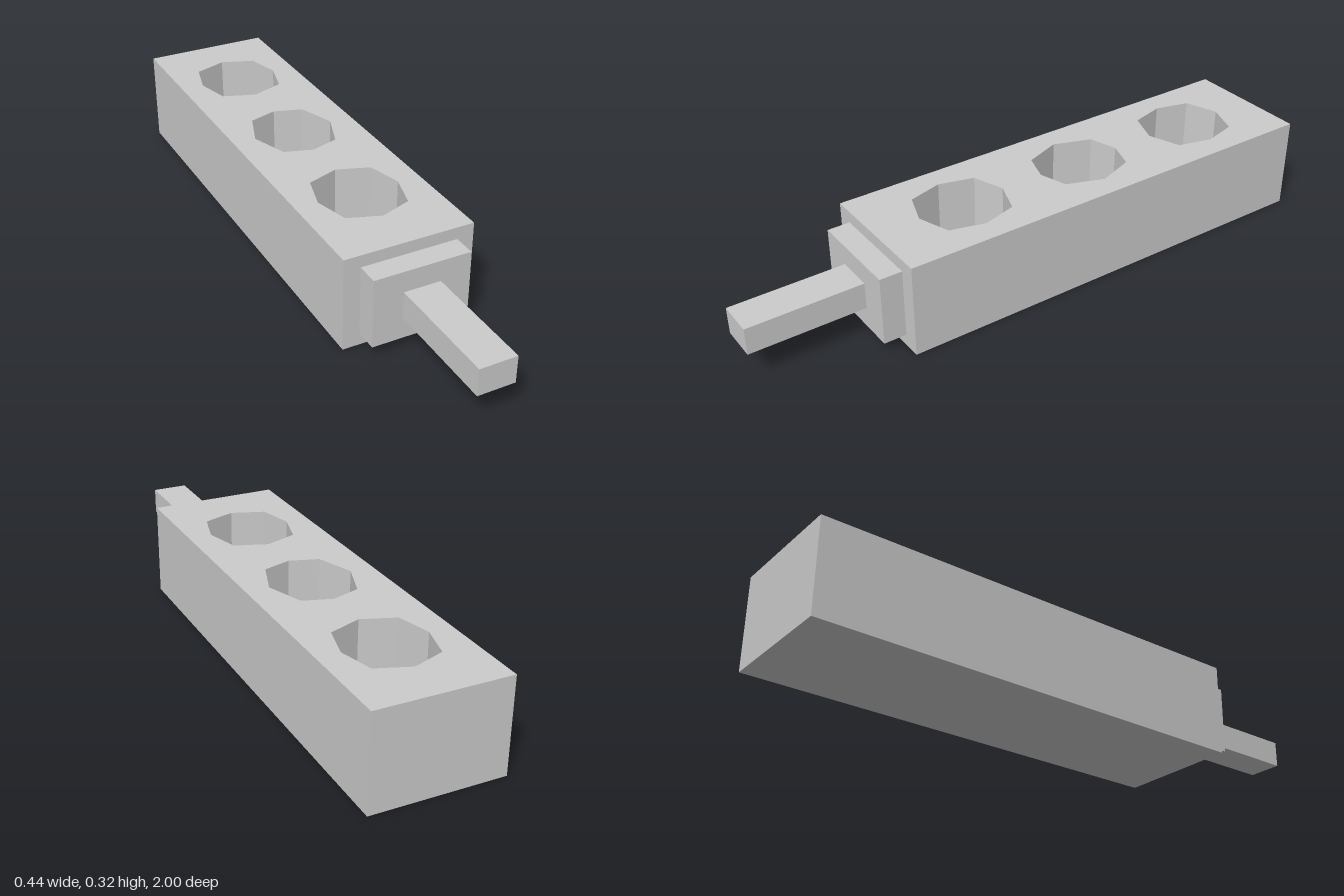
import * as THREE from 'three';

const material = new THREE.MeshStandardMaterial({ color: 0xcccccc, flatShading: true });

function add(group, name, geometry) {
  const mesh = new THREE.Mesh(geometry, material);
  mesh.name = name;
  group.add(mesh);
}

// Box given by width and its y and z ranges, centred on x
function block(width, y0, y1, z0, z1) {
  return new THREE.BoxGeometry(width, y1 - y0, z1 - z0)
    .translate(0, (y0 + y1) / 2, (z0 + z1) / 2);
}

export function createModel() {
  const group = new THREE.Group();
  const half = 0.218, height = 0.316, floor = 0.04, back = -1, front = 0.537;

  // Body outline seen from above (shape y is -z)
  const outline = new THREE.Shape([
    new THREE.Vector2(-half, -front), new THREE.Vector2(half, -front),
    new THREE.Vector2(half, -back), new THREE.Vector2(-half, -back),
  ]);

  // Eight-sided sockets: centre z, then diagonal corner offsets in x and z
  const sockets = [[-0.695, 0.11, 0.115], [-0.235, 0.095, 0.125], [0.225, 0.108, 0.117]];
  for (const [z, dx, dz] of sockets) {
    const corners = [[0.14, 0], [dx, dz], [0, 0.155], [-dx, dz], [-0.14, 0], [-dx, -dz], [0, -0.155], [dx, -dz]];
    outline.holes.push(new THREE.Path(corners.map(([x, y]) => new THREE.Vector2(x, y - z))));
  }

  // Pierced body over a thin base that closes the sockets
  add(group, 'body', new THREE.ExtrudeGeometry(outline, { depth: height - floor, bevelEnabled: false })
    .rotateX(-Math.PI / 2).translate(0, floor, 0));
  add(group, 'base', block(half * 2, 0, floor, back, front));

  // Stepped collar and cable stub at the front
  add(group, 'collar', block(0.324, 0.041, 0.275, front, 0.613));
  add(group, 'cable', block(0.124, 0.113, 0.204, 0.613, 1));
  return group;
}
